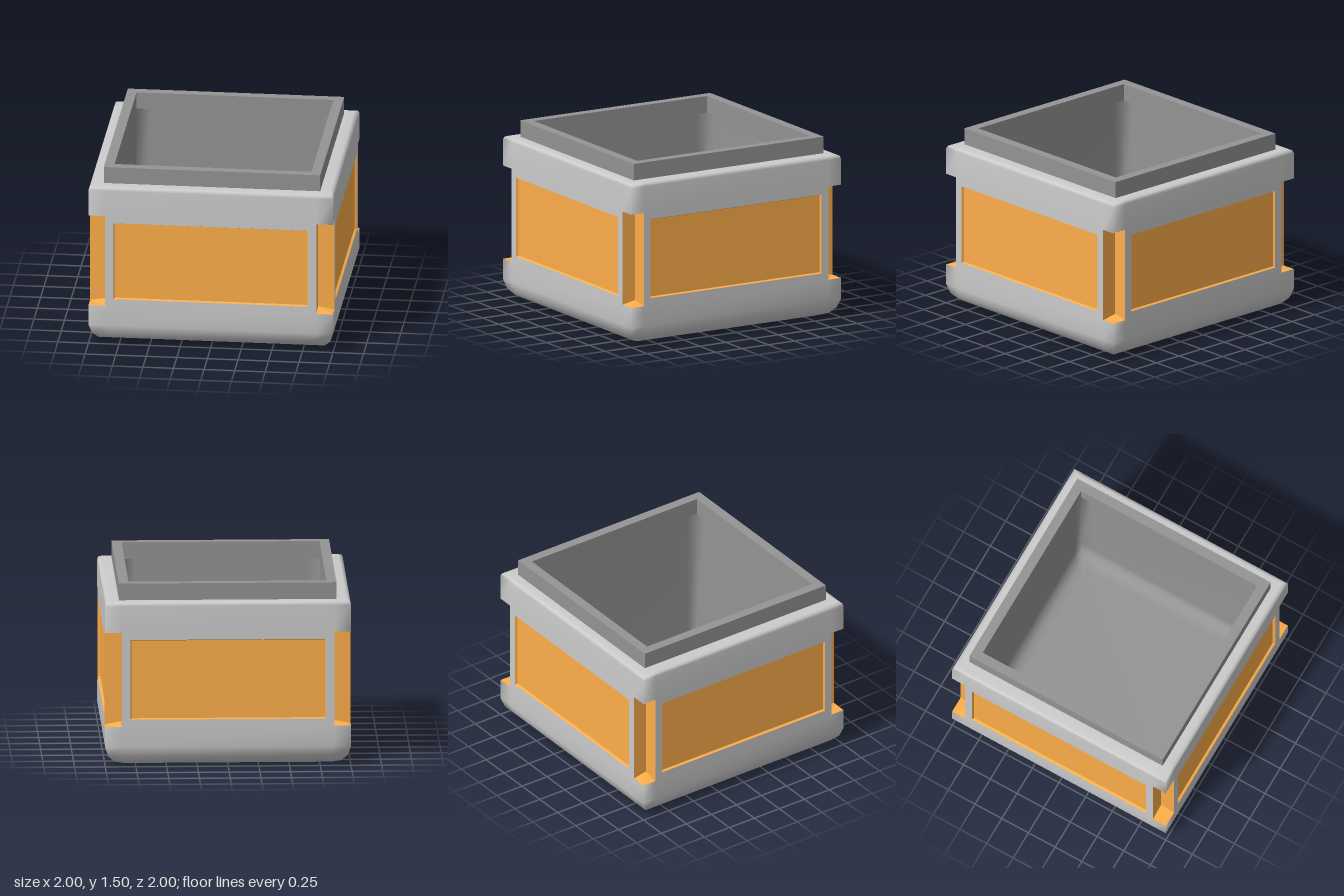
import * as THREE from 'three';

const grey = new THREE.MeshStandardMaterial({ color: 0xcccccc });
const dark = new THREE.MeshStandardMaterial({ color: 0x949494 });
const orange = new THREE.MeshStandardMaterial({ color: 0xfeae4a });

// Half-widths of the wall between corner notches, and of its panel, on the x and z axes
const NOTCH = { x: 0.865, z: 0.88 };
const PANEL = { x: 0.795, z: 0.815 };
const LOW = 0.33, HIGH = 1.11;

function part(name, geometry, material) {
  const mesh = new THREE.Mesh(geometry, material);
  mesh.name = name;
  return mesh;
}

// Smooth skin through square rings given as [halfX, y, halfZ]
function loft(rings) {
  const { x: nx, z: nz } = NOTCH;
  const plan = [
    [-1, 1], [-nx, 1], [nx, 1], [1, 1], [1, nz], [1, -nz],
    [1, -1], [nx, -1], [-nx, -1], [-1, -1], [-1, -nz], [-1, nz],
  ];
  const n = plan.length, pos = [], index = [];
  rings.forEach(([hx, y, hz = hx], r) => {
    plan.forEach(([px, pz], j) => {
      pos.push(px * hx, y, pz * hz);
      if (r === 0) return;
      const a = (r - 1) * n + j, b = (r - 1) * n + (j + 1) % n;
      index.push(a, b, b + n, a, b + n, a + n);
    });
  });
  const g = new THREE.BufferGeometry();
  g.setAttribute('position', new THREE.Float32BufferAttribute(pos, 3));
  g.setIndex(index);
  g.computeVertexNormals();
  return g;
}

// Flat-shaded quads, each with four corners in counter-clockwise order
function quads(list, flip = false) {
  const pos = [];
  for (const q of list) {
    const [a, b, c, d] = flip ? [...q].reverse() : q;
    pos.push(...a, ...b, ...c, ...a, ...c, ...d);
  }
  const g = new THREE.BufferGeometry();
  g.setAttribute('position', new THREE.Float32BufferAttribute(pos, 3));
  g.computeVertexNormals();
  return g;
}

function rectangle(path, w, y0, y1) {
  return path.moveTo(-w, y0).lineTo(w, y0).lineTo(w, y1).lineTo(-w, y1).closePath();
}

// One wall with a shallow recessed panel, facing +z
function makeSide(axis) {
  const side = new THREE.Group();
  const w = PANEL[axis], y0 = 0.39, y1 = 1.05, inset = 0.008, depth = 0.02;

  const shape = rectangle(new THREE.Shape(), NOTCH[axis], LOW, HIGH);
  shape.holes.push(rectangle(new THREE.Path(), w, y0, y1));
  const frame = part('wallFrame', new THREE.ShapeGeometry(shape), grey);
  frame.position.z = 1;

  const corners = (i, z) => [
    [-w + i, y0 + i, z], [w - i, y0 + i, z], [w - i, y1 - i, z], [-w + i, y1 - i, z],
  ];
  const outer = corners(0, 1), inner = corners(inset, 1 - depth);
  const faces = [inner];
  for (let k = 0; k < 4; k++) {
    const m = (k + 1) % 4;
    faces.push([outer[k], outer[m], inner[m], inner[k]]);
  }
  side.add(frame, part('panel', quads(faces), orange));
  return side;
}

// L-shaped recess in a corner, its ends sloping towards the inner edge
function makeNotch(sx, sz) {
  const p = (x, y, z) => [x * sx, y, z * sz];
  const level = (y, slope) => ({
    a: p(NOTCH.x, y, 1), i: p(NOTCH.x, y + slope, NOTCH.z), b: p(1, y, NOTCH.z), c: p(1, y, 1),
  });
  const lo = level(LOW, 0.025), hi = level(HIGH, -0.025);
  return part('cornerNotch', quads([
    [lo.a, lo.i, hi.i, hi.a],
    [lo.i, lo.b, hi.b, hi.i],
    [lo.i, lo.a, lo.c, lo.b],
    [hi.i, hi.b, hi.c, hi.a],
  ], sx * sz < 0), orange);
}

export function createModel() {
  const model = new THREE.Group();
  model.name = 'container';

  // Rounded base and upper band
  model.add(part('base', loft([
    [0, 0], [0.84, 0.0], [0.925, 0.03], [0.975, 0.083], [1, 0.16], [1, LOW],
  ]), grey));
  model.add(part('upperBand', loft([
    [1, HIGH], [1, 1.33], [0.99, 1.352], [0.965, 1.362], [0.87, 1.362],
  ]), grey));

  // Four panelled walls
  for (let k = 0; k < 4; k++) {
    const side = makeSide(k % 2 ? 'z' : 'x');
    side.name = ['frontWall', 'leftWall', 'backWall', 'rightWall'][k];
    side.rotation.y = k * Math.PI / 2;
    model.add(side);
  }

  // Corner notches
  for (const sx of [-1, 1]) for (const sz of [-1, 1]) model.add(makeNotch(sx, sz));

  // Raised rim
  const outline = rectangle(new THREE.Shape(), 0.885, -0.905, 0.905);
  outline.holes.push(rectangle(new THREE.Path(), 0.805, -0.825, 0.825));
  const rim = part('rim', new THREE.ExtrudeGeometry(outline, { depth: 0.14, bevelEnabled: false }), dark);
  rim.rotation.x = -Math.PI / 2;
  rim.position.y = 1.36;
  model.add(rim);

  // Hollow interior with a rounded floor
  model.add(part('interior', loft([
    [0.805, 1.36, 0.825], [0.805, 0.28, 0.825], [0.785, 0.21, 0.805],
    [0.74, 0.165, 0.76], [0.67, 0.15, 0.69], [0, 0.15, 0],
  ]), dark));

  return model;
}
